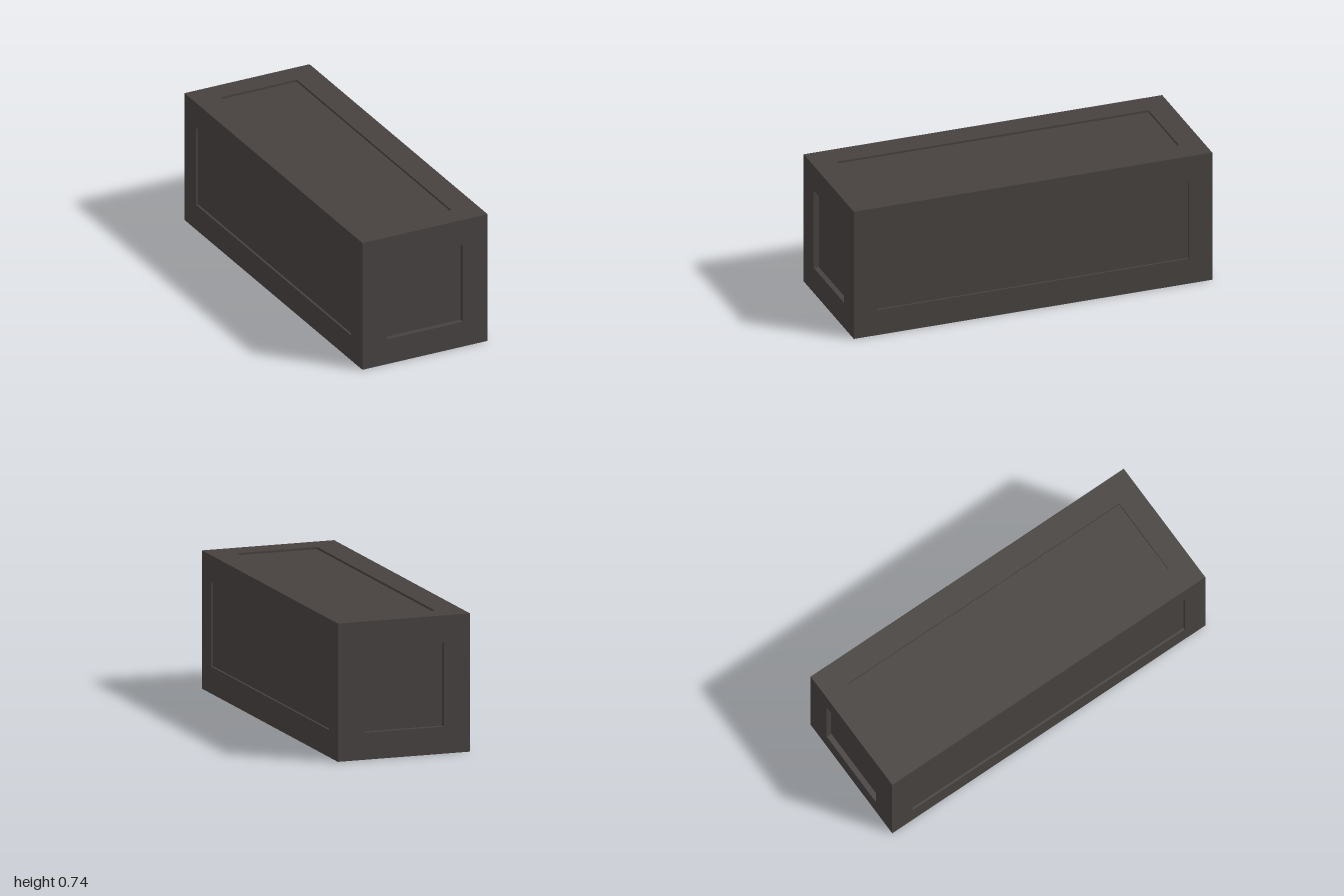
import * as THREE from 'three';

const SIDE = 0.737, LENGTH = 2;             // square section, long in z
const INNER_SIDE = 0.448, INNER_LENGTH = 1.738;
const SIDE_DEPTH = 0.012, END_DEPTH = 0.029;

// Picture-frame border plus the short walls that step down to the recess.
function borderGeometry(w, h, iw, ih, depth) {
  const ring = (a, b, z) => [[-1, -1], [1, -1], [1, 1], [-1, 1]].map(([x, y]) => [x * a / 2, y * b / 2, z]);
  const rings = [ring(w, h, 0), ring(iw, ih, 0), ring(iw, ih, -depth)];
  const points = [];
  for (let r = 0; r < 2; r++) {
    for (let i = 0; i < 4; i++) {
      const j = (i + 1) % 4;
      const a = rings[r][i], b = rings[r][j], c = rings[r + 1][j], d = rings[r + 1][i];
      points.push(...a, ...b, ...c, ...a, ...c, ...d);
    }
  }
  const geometry = new THREE.BufferGeometry();
  geometry.setAttribute('position', new THREE.Float32BufferAttribute(points, 3));
  geometry.computeVertexNormals();
  return geometry;
}

export function createModel() {
  const model = new THREE.Group();
  model.name = 'panelledBeam';
  const material = new THREE.MeshStandardMaterial({ color: 0x474240 });
  material.name = 'dark charcoal';

  // One face: border flush with the block, flat panel sunk behind it.
  function addFace(name, w, h, iw, ih, depth, offset, rx, ry) {
    const face = new THREE.Group();
    face.name = name;
    const border = new THREE.Mesh(borderGeometry(w, h, iw, ih, depth), material);
    border.name = name + 'Border';
    const panel = new THREE.Mesh(new THREE.PlaneGeometry(iw, ih), material);
    panel.name = name + 'Panel';
    panel.position.z = -depth;
    face.add(border, panel);
    face.rotation.set(rx, ry, 0);
    face.position.set(0, 0, offset).applyEuler(face.rotation);
    face.position.y += SIDE / 2;
    model.add(face);
  }

  const q = Math.PI / 2;
  // Square ends
  for (const [name, ry] of [['frontEnd', 0], ['backEnd', Math.PI]]) {
    addFace(name, SIDE, SIDE, INNER_SIDE, INNER_SIDE, END_DEPTH, LENGTH / 2, 0, ry);
  }
  // Long upright sides
  for (const [name, ry] of [['leftSide', q], ['rightSide', -q]]) {
    addFace(name, LENGTH, SIDE, INNER_LENGTH, INNER_SIDE, SIDE_DEPTH, SIDE / 2, 0, ry);
  }
  // Top and underside
  for (const [name, rx] of [['top', -q], ['underside', q]]) {
    addFace(name, SIDE, LENGTH, INNER_SIDE, INNER_LENGTH, SIDE_DEPTH, SIDE / 2, rx, 0);
  }
  return model;
}
